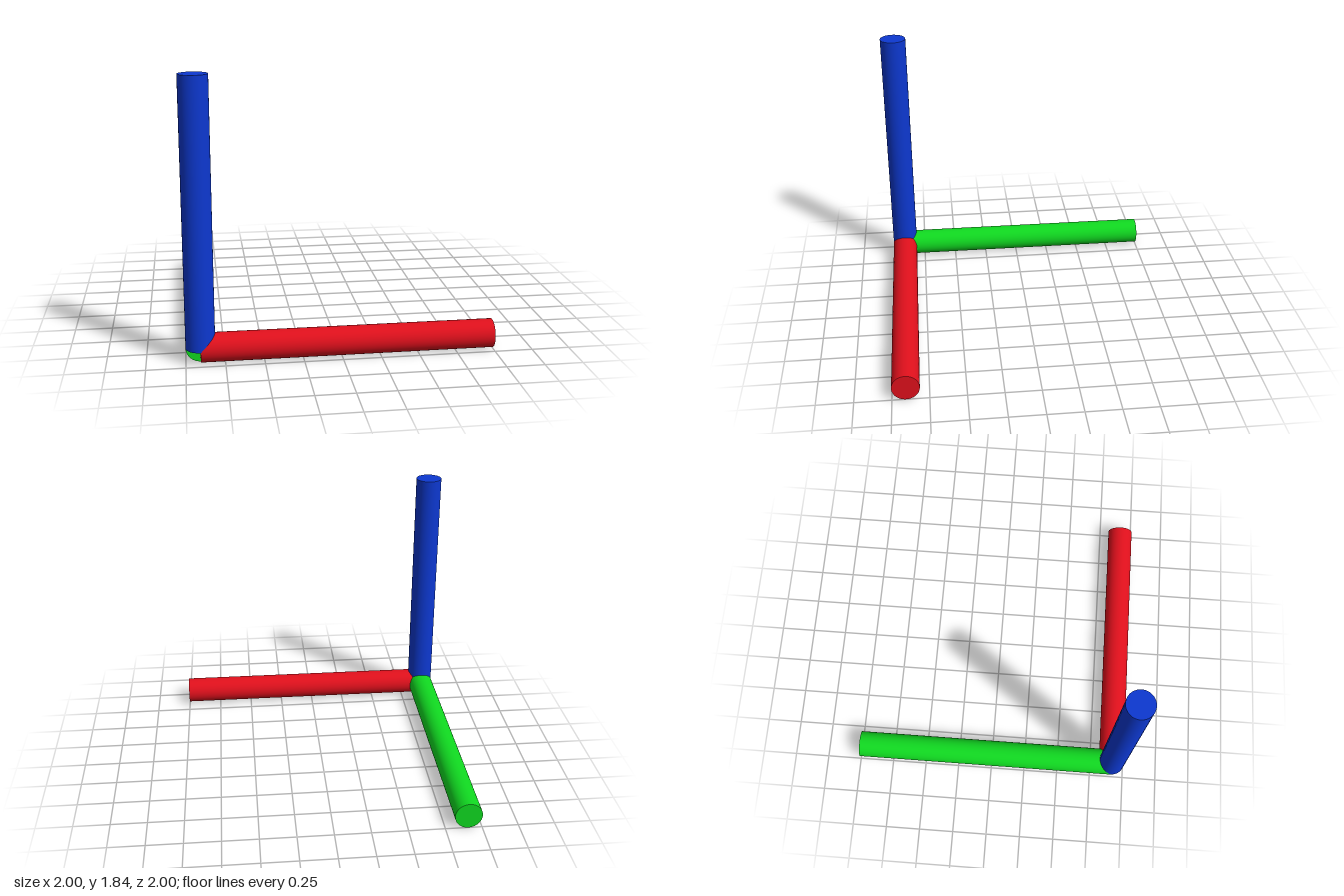
import * as THREE from 'three';

const RADIUS = 0.094;
const CORNER = new THREE.Vector3(-1 + RADIUS, RADIUS, 1 - RADIUS);

// Capped rod that starts at the shared corner and runs along a direction
function makeRod(name, color, direction, length) {
  const geometry = new THREE.CylinderGeometry(RADIUS, RADIUS, length, 48);
  geometry.translate(0, length / 2, 0);
  const rod = new THREE.Mesh(geometry, new THREE.MeshStandardMaterial({ color }));
  rod.name = name;
  rod.quaternion.setFromUnitVectors(new THREE.Vector3(0, 1, 0), direction);
  rod.position.copy(CORNER);
  return rod;
}

export function createModel() {
  const model = new THREE.Group();
  model.name = 'axisTriad';

  // Three rods at right angles
  model.add(
    makeRod('sidewaysRod', 0xe0101c, new THREE.Vector3(1, 0, 0), 2 - RADIUS),
    makeRod('backwardRod', 0x10d820, new THREE.Vector3(0, 0, -1), 2 - RADIUS),
    makeRod('uprightRod', 0x0d38d0, new THREE.Vector3(0, 1, 0), 1.838 - RADIUS),
  );
  return model;
}
